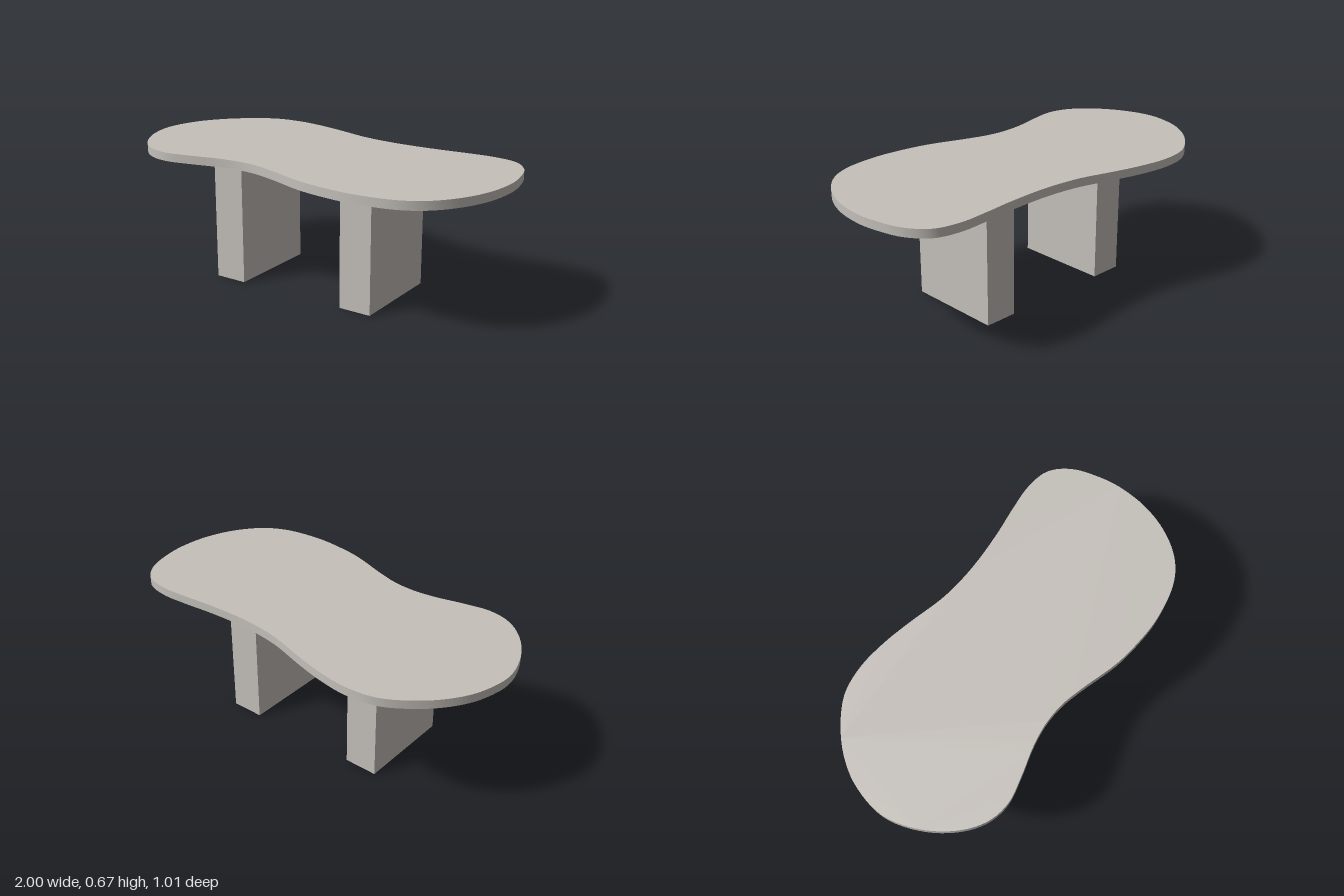
import * as THREE from 'three';
import { toCreasedNormals } from 'three/addons/utils/BufferGeometryUtils.js';

// Tabletop outline seen from above, as [x, z]
const OUTLINE = [
  [-1, 0], [-0.965, -0.17], [-0.9, -0.285], [-0.8, -0.39], [-0.65, -0.485], [-0.5, -0.508],
  [-0.35, -0.492], [-0.2, -0.457], [0, -0.4], [0.13, -0.381], [0.27, -0.375], [0.45, -0.383],
  [0.6, -0.398], [0.75, -0.404], [0.87, -0.373], [0.95, -0.28], [0.99, -0.14], [1, -0.03],
  [0.98, 0.13], [0.92, 0.28], [0.82, 0.405], [0.7, 0.473], [0.5, 0.504], [0.35, 0.496],
  [0.2, 0.47], [0, 0.403], [-0.12, 0.37], [-0.24, 0.361], [-0.36, 0.375], [-0.5, 0.408],
  [-0.64, 0.43], [-0.76, 0.4], [-0.87, 0.31], [-0.96, 0.165],
];
const LEG_HEIGHT = 0.627;
const TOP_HEIGHT = 0.67;

export function createModel() {
  const table = new THREE.Group();
  table.name = 'table';
  const stone = new THREE.MeshStandardMaterial({ color: 0xc5c0ba });
  stone.name = 'warm grey';

  // Free-form slab with a smooth vertical rim
  const curve = new THREE.CatmullRomCurve3(
    OUTLINE.map(([x, z]) => new THREE.Vector3(x, -z, 0)), true);
  const points = curve.getPoints(170).slice(0, -1);
  const shape = new THREE.Shape(points.map((p) => new THREE.Vector2(p.x, p.y)));
  const slab = new THREE.ExtrudeGeometry(shape, {
    depth: TOP_HEIGHT - LEG_HEIGHT, bevelEnabled: false,
  });
  slab.rotateX(-Math.PI / 2);
  const top = new THREE.Mesh(toCreasedNormals(slab, Math.PI / 5), stone);
  top.name = 'tabletop';
  top.position.y = LEG_HEIGHT;
  table.add(top);

  // Two block legs
  for (const [name, x] of [['rightLeg', -0.385], ['leftLeg', 0.365]]) {
    const leg = new THREE.Mesh(new THREE.BoxGeometry(0.17, LEG_HEIGHT, 0.495), stone);
    leg.name = name;
    leg.position.set(x, LEG_HEIGHT / 2, 0.009);
    table.add(leg);
  }
  return table;
}
